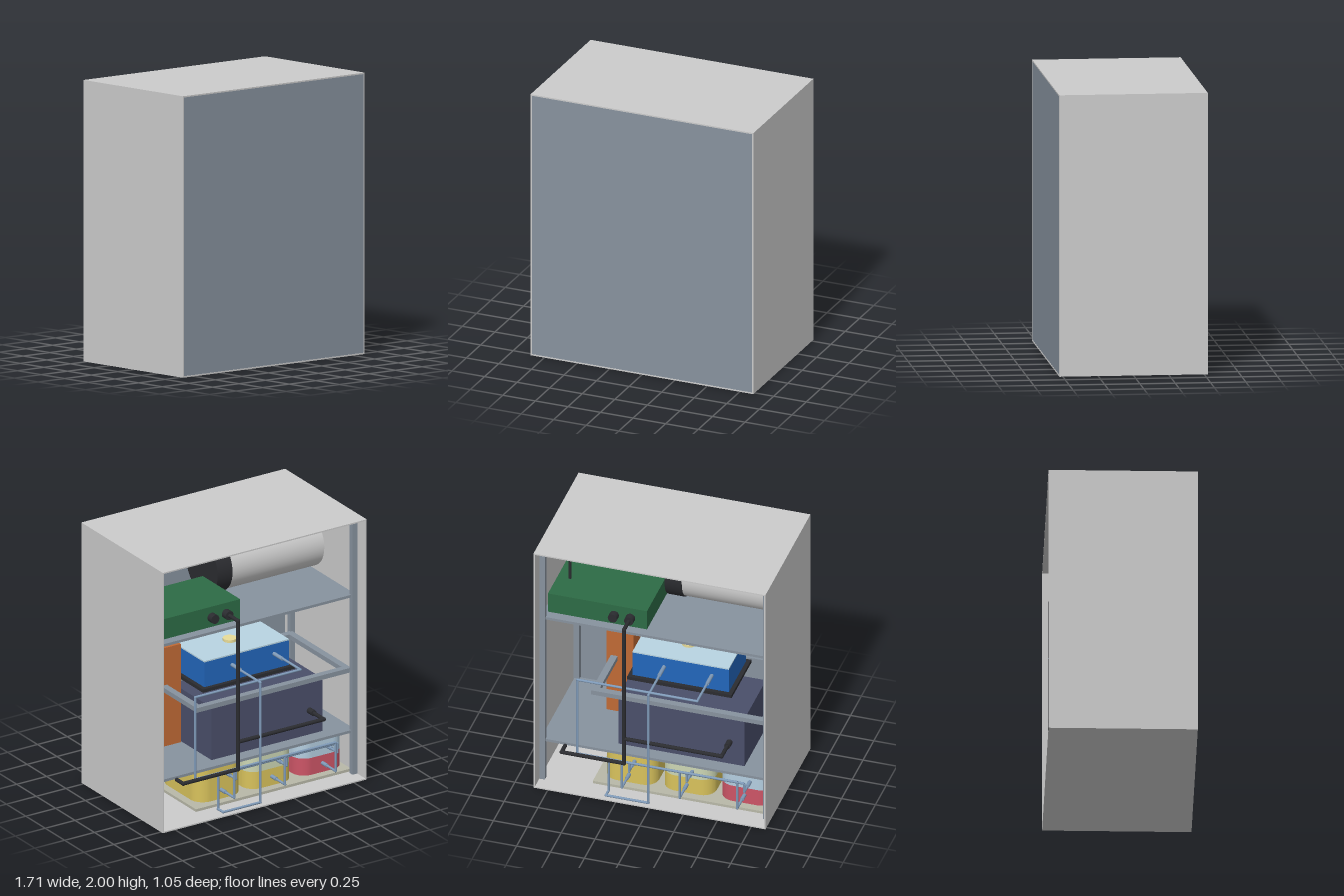
import * as THREE from 'three';

export function createModel() {
  const root = new THREE.Group();
  const mats = {};
  const mat = (c) => (mats[c] ??= new THREE.MeshStandardMaterial({ color: c }));
  const GREY = 0xcccccc, STEEL = 0x87929e, BLACK = 0x2b2c30, LINE = 0x7f9ab8, NAVY = 0x4a4f6a;

  const add = (name, geo, color, parent = root) => {
    const m = new THREE.Mesh(geo, mat(color));
    m.name = name;
    parent.add(m);
    return m;
  };
  // Box given by its extents on each axis
  const box = (name, x, y, z, color, parent) => {
    const m = add(name, new THREE.BoxGeometry(x[1] - x[0], y[1] - y[0], z[1] - z[0]), color, parent);
    m.position.set((x[0] + x[1]) / 2, (y[0] + y[1]) / 2, (z[0] + z[1]) / 2);
    return m;
  };
  // Cylinder between two points
  const rod = (name, a, b, r, color, parent, sides = 12) => {
    const p = new THREE.Vector3(...a), q = new THREE.Vector3(...b);
    const d = q.clone().sub(p);
    const m = add(name, new THREE.CylinderGeometry(r, r, d.length(), sides), color, parent);
    m.position.copy(p).add(q).multiplyScalar(0.5);
    m.quaternion.setFromUnitVectors(new THREE.Vector3(0, 1, 0), d.normalize());
    return m;
  };
  // Pipe run with ball elbows
  const pipe = (name, pts, r, color) => {
    const g = new THREE.Group();
    g.name = name;
    root.add(g);
    pts.forEach((p, i) => {
      if (i === 0) return;
      rod('pipeLength', pts[i - 1], p, r, color, g);
      if (i < pts.length - 1) add('elbow', new THREE.SphereGeometry(r * 1.1, 10, 8), color, g).position.set(...p);
    });
  };

  // Cabinet shell, open at the back
  const W = 0.855, D = 0.525, T = 0.01;
  for (const s of [-1, 1]) {
    const x = s > 0 ? [W - T, W] : [-W, -W + T];
    box(s > 0 ? 'leftWall' : 'rightWall', x, [0, 2], [-D, D], GREY);
  }
  box('roof', [-W + T, W - T], [2 - T, 2], [-D, D], GREY);
  box('floor', [-W + T, W - T], [0, T], [-D, D], GREY);
  box('frontPanel', [-W + T, W - T], [T, 2 - T], [D - 0.015, D - 0.002], STEEL);

  // Corner posts and shelves
  for (const x of [-0.825, 0.825])
    for (const z of [-0.4, 0.4])
      box('cornerPost', [x - 0.02, x + 0.02], [T, 2 - T], [z - 0.02, z + 0.02], STEEL);
  box('upperShelf', [-0.84, 0.84], [1.365, 1.385], [-0.4, 0.4], STEEL);
  box('lowerShelf', [-0.84, 0.84], [0.325, 0.345], [-0.4, 0.4], STEEL);

  // Open middle frame
  const frame = new THREE.Group();
  frame.name = 'middleFrame';
  root.add(frame);
  for (const z of [-0.38, 0.34]) box('frameRail', [-0.82, 0.476], [0.78, 0.815], [z, z + 0.05], STEEL, frame);
  for (const x of [-0.82, 0.426]) box('frameSideRail', [x, x + 0.05], [0.78, 0.815], [-0.33, 0.34], STEEL, frame);

  // Control unit with its outlet knobs and aerial
  box('controlUnit', [0.08, 0.81], [1.385, 1.54], [-0.33, 0.15], 0x2d6b45);
  for (const x of [0.2, 0.32]) rod('outletKnob', [x, 1.46, -0.33], [x, 1.46, -0.38], 0.034, BLACK, root, 16);
  rod('aerial', [0.72, 1.54, -0.1], [0.72, 1.99, -0.1], 0.012, BLACK);

  // Air duct with black collar
  rod('airDuct', [0.0, 1.59, 0.2], [-0.845, 1.59, 0.2], 0.195, GREY, root, 40);
  rod('ductCollar', [0.055, 1.59, 0.2], [-0.07, 1.59, 0.2], 0.203, BLACK, root, 40);

  // Main tank, cooler and upright panel
  box('mainTank', [-0.63, 0.3], [0.345, 0.75], [-0.3, 0.2], NAVY);
  box('uprightPanel', [0.31, 0.51], [0.345, 1.1], [0.08, 0.3], 0xc06a35);
  box('coolerTray', [-0.49, 0.28], [0.805, 0.83], [-0.16, 0.3], BLACK);
  box('cooler', [-0.46, 0.25], [0.83, 1.02], [-0.13, 0.27], 0x2266bb);
  box('coolerLid', [-0.46, 0.25], [1.02, 1.03], [-0.13, 0.27], 0xb8d4e2);
  rod('coolerCap', [-0.1, 1.03, 0.08], [-0.1, 1.05, 0.08], 0.05, 0xe8dc98, root, 20);

  // Black hose from the control unit to the tank and shelf
  const hz = -0.487;
  pipe('mainHose', [[0.2, 1.46, -0.36], [0.2, 1.46, hz], [0.2, 0.32, hz], [0.66, 0.32, hz], [0.66, 0.32, -0.4]], 0.014, BLACK);
  pipe('tankHose', [[0.2, 0.53, hz], [-0.52, 0.53, hz], [-0.52, 0.53, -0.3]], 0.014, BLACK);
  rod('tankInlet', [-0.52, 0.53, -0.3], [-0.52, 0.53, -0.36], 0.022, BLACK);

  // Bins: rounded lower and upper halves, each with a tap
  const binShape = (w, d, r) => {
    const s = new THREE.Shape(), a = w / 2, b = d / 2;
    s.moveTo(-a + r, -b);
    s.absarc(a - r, -b + r, r, -Math.PI / 2, 0);
    s.absarc(a - r, b - r, r, 0, Math.PI / 2);
    s.absarc(-a + r, b - r, r, Math.PI / 2, Math.PI);
    s.absarc(-a + r, -b + r, r, Math.PI, Math.PI * 1.5);
    return s;
  };
  const half = new THREE.ExtrudeGeometry(binShape(0.38, 0.5, 0.1), { depth: 0.13, bevelEnabled: false, curveSegments: 10 });
  half.rotateX(-Math.PI / 2);
  box('binTray', [-0.83, 0.47], [T, 0.03], [-0.36, 0.36], 0xb8b8a8);
  const YELLOW = 0xd8c25c;
  const colors = [[YELLOW, YELLOW], [YELLOW, 0xccd6b4], [0xcc5566, 0xb4cee0]];
  [0.22, -0.205, -0.63].forEach((x, i) => {
    const g = new THREE.Group();
    g.name = 'bin';
    root.add(g);
    colors[i].forEach((c, j) => {
      add(j ? 'upperBin' : 'lowerBin', half, c, g).position.set(x, 0.03 + j * 0.13, -0.05);
      const y = 0.1 + j * 0.12;
      rod('tap', [x - 0.04 * j, y, -0.29], [x - 0.04 * j, y, -0.36], 0.014, LINE, g);
    });
    pipe('lowerDrop', [[x, 0.32, -0.47], [x, 0.1, -0.47], [x, 0.1, -0.3]], 0.009, LINE);
    pipe('upperDrop', [[x - 0.04, 0.29, -0.43], [x - 0.04, 0.22, -0.43], [x - 0.04, 0.22, -0.3]], 0.009, LINE);
  });

  // Thin supply lines
  pipe('supplyLine', [[-0.335, 0.95, -0.13], [-0.335, 0.95, -0.47], [0.548, 0.95, -0.47], [0.548, 0.32, -0.47], [-0.63, 0.32, -0.47]], 0.009, LINE);
  pipe('returnLine', [[0.017, 0.945, -0.13], [0.017, 0.945, -0.495], [0.017, 0.025, -0.495], [0.33, 0.025, -0.495],
    [0.33, 0.025, -0.43], [0.33, 0.29, -0.43], [-0.67, 0.29, -0.43]], 0.009, LINE);
  for (const x of [0.017, -0.335]) rod('coolerTap', [x, 0.947, -0.13], [x, 0.947, -0.24], 0.014, LINE);

  return root;
}
